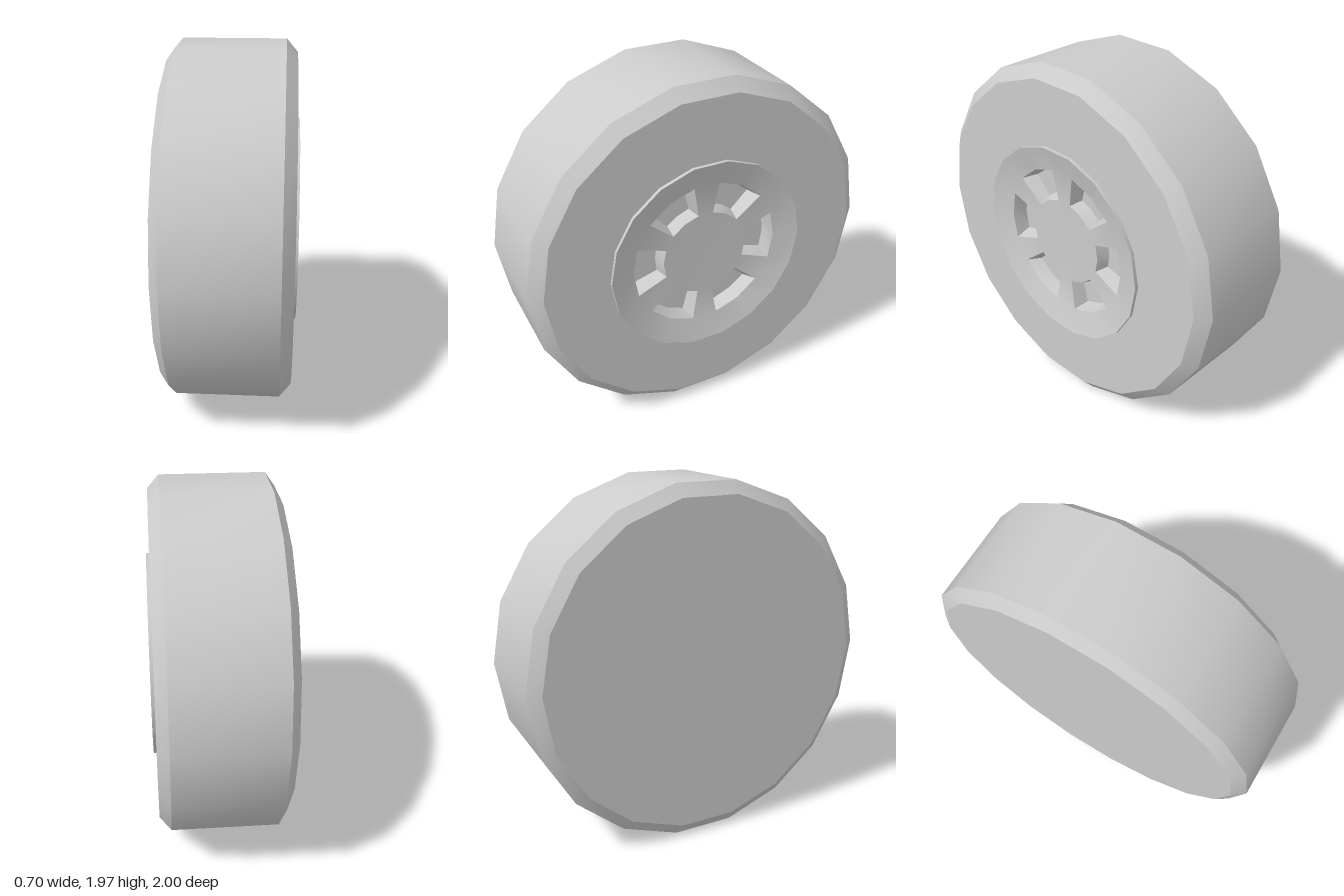
import * as THREE from 'three';
import { toCreasedNormals } from 'three/addons/utils/BufferGeometryUtils.js';

const SIDES = 18;
const STEP = 360 / SIDES;
const CENTRE_Y = Math.cos(Math.PI / SIDES); // rests on a flat side
const CREASE = THREE.MathUtils.degToRad(27);

// point on the wheel: radius, angle in degrees (seen from +x), position along the axle
function polar(r, deg, x) {
  const a = THREE.MathUtils.degToRad(deg);
  return [x, r * Math.sin(a), -r * Math.cos(a)];
}

function buildTyre() {
  const profile = [[0, -0.35], [0.93, -0.35], [1, -0.3], [1, 0.27], [0.93, 0.33], [0.57, 0.33]];
  const geo = new THREE.LatheGeometry(profile.map(([r, x]) => new THREE.Vector2(r, x)), SIDES);
  geo.rotateZ(-Math.PI / 2);
  return toCreasedNormals(geo, CREASE);
}

function buildRim() {
  const pos = [];
  const tri = (a, b, c) => pos.push(...a, ...b, ...c);
  const quad = (a, b, c, d) => { tri(a, b, c); tri(a, c, d); };

  // dished face, from the hub centre out to the raised lip
  const profile = [[0, 0.3], [0.25, 0.3], [0.43, 0.31], [0.57, 0.35], [0.57, 0.33]];
  for (let k = 0; k < SIDES; k++) {
    const a0 = k * STEP, a1 = a0 + STEP;
    for (let i = 0; i < profile.length - 1; i++) {
      if (i === 1 && k % 3 !== 1) continue; // window between two spokes
      const [r0, x0] = profile[i], [r1, x1] = profile[i + 1];
      if (r0 === 0) tri(polar(0, 0, x0), polar(r1, a0, x1), polar(r1, a1, x1));
      else quad(polar(r0, a0, x0), polar(r1, a0, x1), polar(r1, a1, x1), polar(r0, a1, x0));
    }
  }

  // six tapered pockets
  const loop = (mid, spread, ri, xi, ro, xo) => [
    polar(ri, mid - spread, xi), polar(ro, mid - spread, xo), polar(ro, mid, xo),
    polar(ro, mid + spread, xo), polar(ri, mid + spread, xi), polar(ri, mid, xi),
  ];
  for (let w = 0; w < 6; w++) {
    const top = loop(w * 60, STEP, 0.25, 0.3, 0.43, 0.31);
    const floor = loop(w * 60, 15.8, 0.27, 0.23, 0.408, 0.23);
    for (let i = 0; i < 6; i++) {
      const j = (i + 1) % 6;
      quad(top[i], top[j], floor[j], floor[i]);
    }
    quad(floor[0], floor[1], floor[2], floor[5]);
    quad(floor[5], floor[2], floor[3], floor[4]);
  }

  const geo = new THREE.BufferGeometry();
  geo.setAttribute('position', new THREE.Float32BufferAttribute(pos, 3));
  return toCreasedNormals(geo, CREASE);
}

export function createModel() {
  const group = new THREE.Group();
  group.name = 'wheel';
  const material = new THREE.MeshStandardMaterial({ color: 0xcccccc });
  for (const [name, geo] of [['tyre', buildTyre()], ['rim', buildRim()]]) {
    const mesh = new THREE.Mesh(geo, material);
    mesh.name = name;
    mesh.position.y = CENTRE_Y;
    group.add(mesh);
  }
  return group;
}
